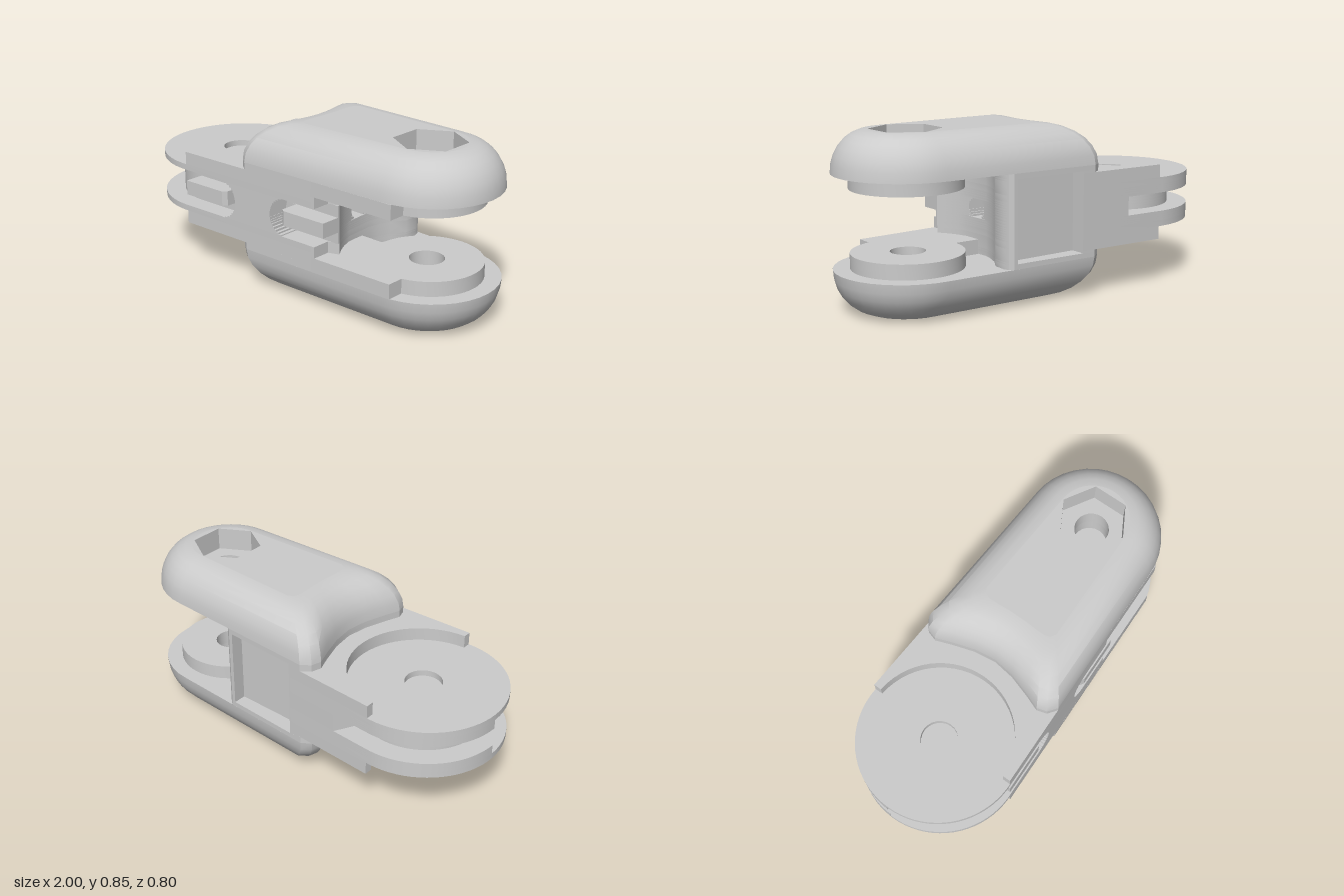
import * as THREE from 'three';
import { toCreasedNormals } from 'three/addons/utils/BufferGeometryUtils.js';

const MID = 0.425;            // height of the symmetry plane
const DISC = -0.6, PIN = 0.65; // x of the two hinge axes
const material = new THREE.MeshStandardMaterial({ color: 0xcccccc, side: THREE.DoubleSide });

function add(parent, name, geometry) {
  const mesh = new THREE.Mesh(toCreasedNormals(geometry, 0.55), material);
  mesh.name = name;
  parent.add(mesh);
  return mesh;
}

// Points on an arc in plan, angles in degrees, +90 pointing to the front
function arc(cx, r, from, to, n) {
  return Array.from({ length: n + 1 }, (_, i) => {
    const a = THREE.MathUtils.degToRad(from + (to - from) * i / n);
    return [cx + r * Math.cos(a), r * Math.sin(a)];
  });
}

const toVec = (pts) => pts.map(([x, z]) => new THREE.Vector2(x, -z));

function planShape(pts, holes = []) {
  const shape = new THREE.Shape(toVec(pts));
  holes.forEach((h) => shape.holes.push(new THREE.Path(toVec(h))));
  return shape;
}

// Vertical slab from a plan outline
function slab(pts, y0, y1, holes) {
  const g = new THREE.ExtrudeGeometry(planShape(pts, holes), { depth: y1 - y0, bevelEnabled: false });
  return g.rotateX(-Math.PI / 2).translate(0, y0, 0);
}

function flat(pts, y, holes) {
  return new THREE.ShapeGeometry(planShape(pts, holes)).rotateX(-Math.PI / 2).translate(0, y, 0);
}

// Tapered side of the link in plan
const side = (x) => 0.4 - 0.04 * (x - DISC);

// Left end of the cheeks: base and top rim, front half
const BASE = [[-0.17, 0.383], [-0.215, 0.35], [-0.23, 0.3], [-0.2, 0.22], [-0.165, 0.11], [-0.15, 0]];
const TOP = [[0.06, 0.2], [0.035, 0.185], [0.025, 0.16], [0.025, 0.11], [0.03, 0.05], [0.03, 0]];
const mirrorBack = (pts) => pts.slice(0, -1).reverse().map(([x, z]) => [x, -z]);

function cheekOutline(t) {
  const half = BASE.map(([x, z], i) => [x + (TOP[i][0] - x) * t, z + (TOP[i][1] - z) * t]);
  return [...arc(PIN, 0.35 - 0.172 * t, -90, 90, 18), ...half, ...mirrorBack(half)];
}

// Plan outline of the body at distance h from the symmetry plane
function bodyOutline(h) {
  const pts = [];
  const channel = h < 0.095, ridge = h < 0.0375, groove = h < 0.047;
  const corner = Math.sqrt(Math.max(0, 0.095 ** 2 - h * h));
  // disc front half
  if (h < 0.125) pts.push(...arc(DISC, channel ? 0.3 : 0.4, 180, 90, 18));
  else if (h < 0.19) pts.push([-0.58, side(-0.58)]);
  else pts.push(...BASE.slice(0, 4).reverse());
  // front side with the two cable channels and their ridges
  if (channel) {
    if (ridge) pts.push([-0.58, 0.3], [-0.58, side(-0.58)], [-0.33, side(-0.33)], [-0.31, 0.37], [-0.31, 0.29]);
    const a = -0.335 + corner, b = 0.085 - corner;
    pts.push([a, 0.29], [a, side(a)], [b, side(b)], [b, 0.265]);
    if (ridge) pts.push([0.06, 0.265], [0.06, 0.36], [0.08, side(0.08)], [0.325, side(0.325)]);
    pts.push([0.325, 0.262]);
  } else pts.push([0.27, side(0.27)], [0.27, 0.27]);
  // concave right end, with the blind bore
  const scoop = (z) => [PIN - Math.sqrt(0.41 ** 2 - z * z), z];
  pts.push(...[0.25, 0.2, 0.15, 0.1].map(scoop));
  if (h < 0.052) {
    const w = 0.06 * Math.sqrt(1 - (h / 0.052) ** 2);
    pts.push(scoop(0.02 + w), [-0.05, 0.02 + w], [-0.05, 0.02 - w], scoop(0.02 - w));
  }
  pts.push(...[-0.06, -0.12, -0.18, -0.25].map(scoop));
  pts.push([0.33, -0.32], [0.32, -0.35], [0.3, -side(0.3)]);
  // back pocket
  if (h < 0.2) pts.push([0.28, -side(0.28)], [0.28, -0.3], [-0.1, -0.3], [-0.1, -side(-0.1)]);
  // disc back half, or the round seat above it
  if (groove) pts.push([-0.38, -side(-0.38)], ...arc(DISC, 0.3, -60, -179, 20));
  else if (h < 0.125) pts.push(...arc(DISC, 0.4, -90, -179, 18));
  else if (h < 0.19) pts.push([-0.58, -side(-0.58)], ...arc(DISC, 0.36, -86.8, 86.8, 28));
  else pts.push(...BASE.slice(0, 5).map(([x, z]) => [x, -z]), BASE[5], BASE[4]);
  return pts;
}

// Rounded outer cheek with a pin recess, built upwards from the symmetry plane
function makeCheek(name, recess) {
  const group = new THREE.Group();
  group.name = name;
  const rows = 7, h0 = 0.225, h1 = 0.425, floor = 0.31;
  const pos = [], index = [];
  let n = 0;
  for (let r = 0; r <= rows; r++) {
    const a = (r / rows) * Math.PI / 2;
    const ring = cheekOutline(1 - Math.cos(a));
    n = ring.length;
    ring.forEach(([x, z]) => pos.push(x, h0 + (h1 - h0) * Math.sin(a), z));
  }
  for (let r = 0; r < rows; r++) {
    for (let i = 0; i < n; i++) {
      const a = r * n + i, b = r * n + (i + 1) % n;
      index.push(a, a + n, b, b, a + n, b + n);
    }
  }
  const shell = new THREE.BufferGeometry();
  shell.setAttribute('position', new THREE.Float32BufferAttribute(pos, 3));
  shell.setIndex(index);
  add(group, 'cheekShell', shell);

  const bore = arc(PIN, 0.085, 0, 345, 23);
  add(group, 'cheekOuterFace', flat(cheekOutline(1), h1, [recess]));
  add(group, 'cheekInnerFace', flat(cheekOutline(0), h0, [bore]));
  add(group, 'recessFloor', flat(recess, floor, [bore]));
  const wall = (pts, y0, y1) => {
    const p = [], ix = [], m = pts.length;
    pts.forEach(([x, z]) => p.push(x, y0, z, x, y1, z));
    for (let i = 0; i < m; i++) {
      const a = 2 * i, b = 2 * ((i + 1) % m);
      ix.push(a, b, a + 1, b, b + 1, a + 1);
    }
    const g = new THREE.BufferGeometry();
    g.setAttribute('position', new THREE.Float32BufferAttribute(p, 3));
    return g.setIndex(ix);
  };
  add(group, 'recessWall', wall(recess, floor, h1));
  add(group, 'pinBore', wall(bore, h0, floor));
  group.position.y = MID;
  return group;
}

export function createModel() {
  const model = new THREE.Group();
  model.name = 'chainLink';

  // Body and disc, stacked from slabs mirrored about the symmetry plane
  const body = new THREE.Group();
  body.name = 'body';
  const levels = [0, 0.015, 0.028, 0.0375, 0.047, 0.06, 0.072, 0.082, 0.09, 0.095, 0.125, 0.19, 0.2, 0.225];
  for (let i = 0; i < levels.length - 1; i++) {
    const [a, b] = [levels[i], levels[i + 1]], h = (a + b) / 2;
    const holes = h < 0.125 ? [arc(DISC, 0.09, 0, 345, 23)] : [];
    const outline = bodyOutline(h);
    add(body, 'bodyUpperLayer', slab(outline, MID + a, MID + b, holes));
    add(body, 'bodyLowerLayer', slab(outline, MID - b, MID - a, holes));
  }
  model.add(body);

  // Hinge pads inside the fork
  const pad = [[0.25, side(0.25)], [0.71, 0.349], ...arc(PIN, 0.27, 77, -180, 36), [0.25, 0]];
  const padHole = [arc(PIN, 0.085, 0, 345, 23)];
  add(model, 'upperHingePad', slab(pad, MID + 0.152, MID + 0.225, padHole));
  add(model, 'lowerHingePad', slab(pad, MID - 0.225, MID - 0.152, padHole));

  // Cheeks: hexagonal recess above, round recess below
  model.add(makeCheek('upperCheek', arc(PIN, 0.173, 30, 330, 5)));
  const lower = makeCheek('lowerCheek', arc(PIN, 0.16, 0, 345, 23));
  lower.rotation.x = Math.PI;
  model.add(lower);
  return model;
}
